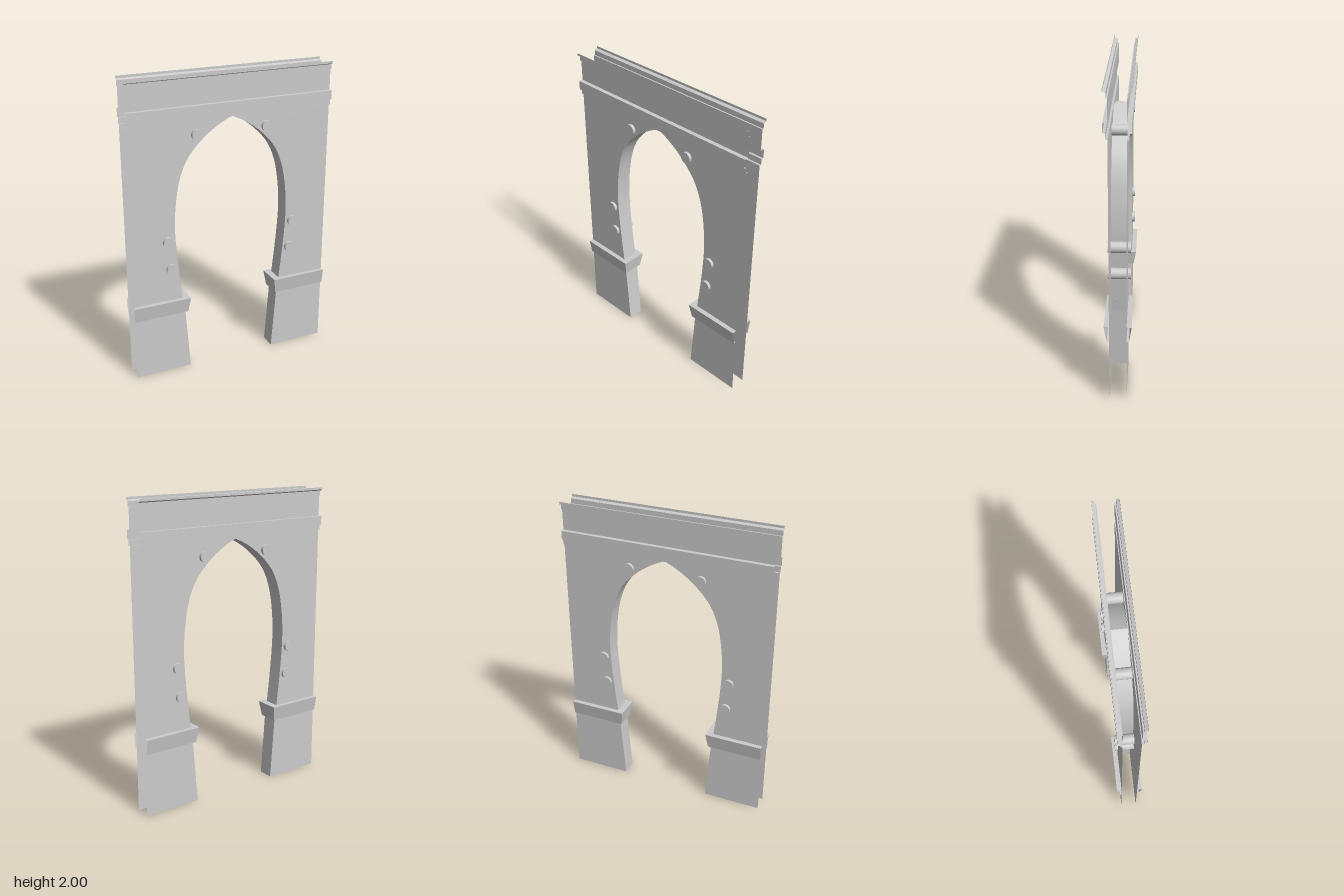
import * as THREE from 'three';

const HALF_W = 0.695; // half width of the whole wall section
const WALL_Z = 0.053; // half thickness of the wall
const SPRING_TOP = 1.715; // arch apex and underside of the string course

const material = new THREE.MeshStandardMaterial({ color: 0xcccccc, side: THREE.DoubleSide });

function addMesh(parent, name, geometry) {
  const mesh = new THREE.Mesh(geometry, material);
  mesh.name = name;
  parent.add(mesh);
  return mesh;
}

// Open surface through rows of points; it faces (column direction) x (row direction)
function sheet(rows, smooth) {
  const n = rows[0].length;
  const index = [];
  for (let i = 0; i < rows.length - 1; i++) {
    for (let j = 0; j < n - 1; j++) {
      const a = i * n + j, b = a + n;
      index.push(a, a + 1, b + 1, a, b + 1, b);
    }
  }
  let g = new THREE.BufferGeometry();
  g.setAttribute('position', new THREE.Float32BufferAttribute(rows.flat(2), 3));
  g.setIndex(index);
  if (!smooth) g = g.toNonIndexed();
  g.computeVertexNormals();
  return g;
}

// Half outline of the pointed horseshoe opening, from floor to apex
function archPoints() {
  const curve = new THREE.SplineCurve([
    [0.34, 0.425], [0.355, 0.53], [0.379, 0.75], [0.394, 0.94], [0.396, 1.06], [0.388, 1.18],
    [0.365, 1.32], [0.325, 1.435], [0.27, 1.52], [0.18, 1.608], [0.09, 1.67], [0, SPRING_TOP],
  ].map(([x, y]) => new THREE.Vector2(x, y)));
  return [new THREE.Vector2(0.308, 0), ...curve.getPoints(33)];
}

// One face of the wall: two arch halves, string course, frieze and cornice
function buildFace(name, arch) {
  const face = new THREE.Group();
  face.name = name;

  const shape = new THREE.Shape();
  shape.moveTo(HALF_W, 0);
  shape.lineTo(HALF_W, SPRING_TOP);
  [...arch].reverse().forEach((p) => shape.lineTo(p.x, p.y));
  shape.closePath();
  const wall = new THREE.ShapeGeometry(shape);
  wall.translate(0, 0, WALL_Z);
  addMesh(face, 'wallLeft', wall);
  addMesh(face, 'wallRight', wall).scale.x = -1;

  // Moulding profile as [z, y], swept across the width
  const strip = (profile) => sheet(profile.map(([z, y]) => [[-HALF_W, y, z], [HALF_W, y, z]]), false);
  addMesh(face, 'stringCourse', strip([
    [WALL_Z, 1.715], [0.066, 1.715], [0.066, 1.752], [0.081, 1.752], [0.081, 1.81], [WALL_Z, 1.81],
  ]));
  addMesh(face, 'frieze', strip([[WALL_Z, 1.81], [WALL_Z, 1.945]]));
  addMesh(face, 'cornice', strip([
    [WALL_Z, 1.945], [0.062, 1.945], [0.062, 1.977], [0.081, 1.985], [0.081, 2],
  ]));
  return face;
}

// One side of the passage: reveal, impost block and round pegs
function buildSide(name, arch) {
  const side = new THREE.Group();
  side.name = name;

  addMesh(side, 'archReveal', sheet(arch.map((p) => [[p.x, p.y, -WALL_Z], [p.x, p.y, WALL_Z]]), true));

  // Flared impost wrapped around three sides of the pier: [inner x, y, z]
  const ring = ([x, y, z]) => [[HALF_W, y, -z], [x, y, -z], [x, y, z], [HALF_W, y, z]];
  addMesh(side, 'impost', sheet([
    [0.34, 0.425, WALL_Z], [0.324, 0.425, 0.068], [0.309, 0.527, 0.085], [0.355, 0.527, WALL_Z],
  ].map(ring), false));

  // Pegs run right through the wall
  for (const [x, y] of [[0.24, 1.625], [0.445, 0.942], [0.429, 0.752]]) {
    const peg = new THREE.CylinderGeometry(0.035, 0.035, 0.144, 32);
    peg.rotateX(Math.PI / 2);
    peg.translate(x, y, 0);
    addMesh(side, 'peg', peg);
  }
  return side;
}

export function createModel() {
  const model = new THREE.Group();
  model.name = 'archway';
  const arch = archPoints();

  const front = buildFace('frontFace', arch);
  const back = buildFace('backFace', arch);
  back.rotation.y = Math.PI;

  const left = buildSide('leftSide', arch);
  const right = buildSide('rightSide', arch);
  right.scale.x = -1;

  model.add(front, back, left, right);
  return model;
}
